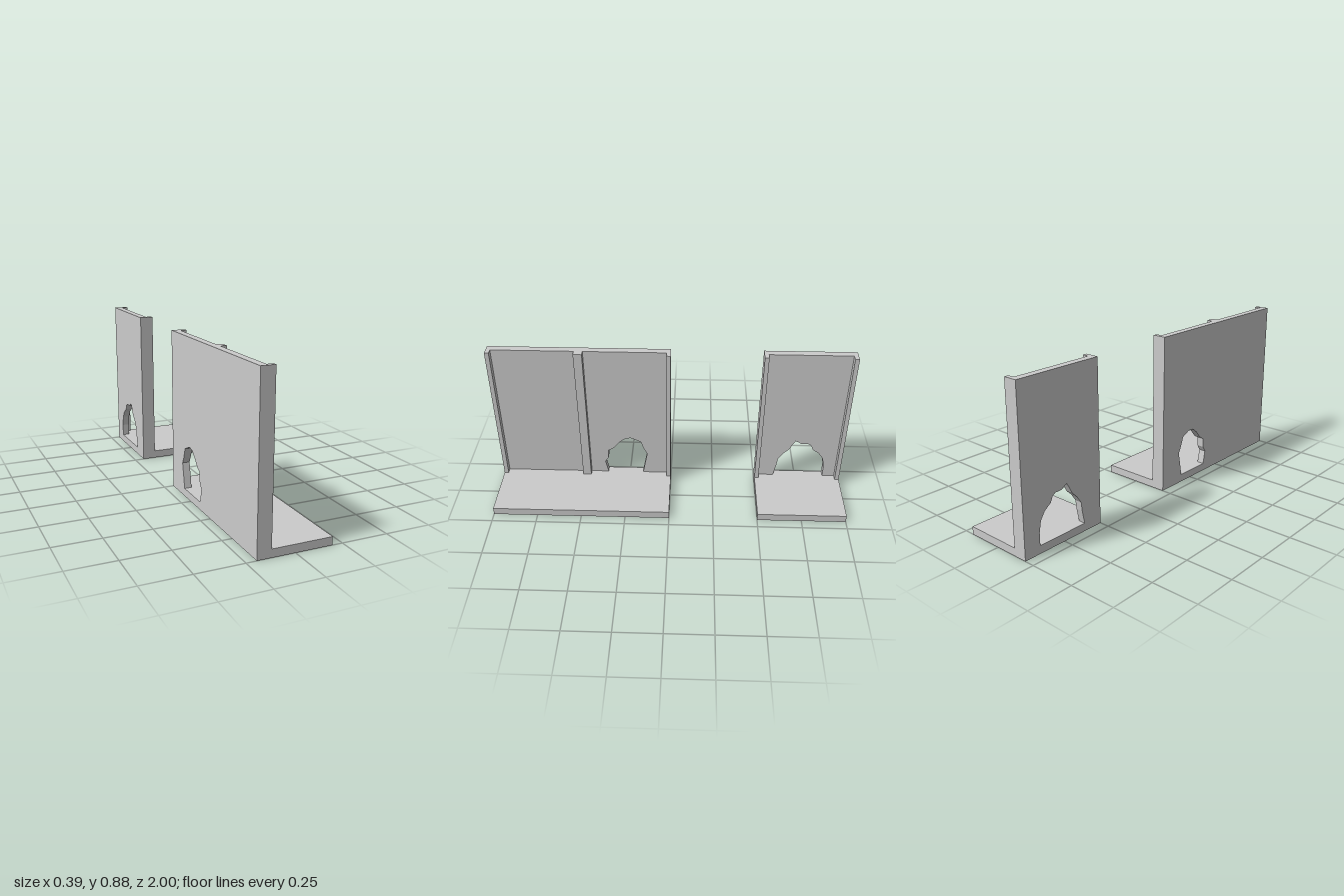
import * as THREE from 'three';

const LEFT = -0.197, RIGHT = 0.195;   // floor extent in x
const WALL = -0.157, POST = -0.123;   // inner faces of wall and posts
const FLOOR = 0.043, TOP = 0.876;     // heights
const BAY = 0.5, POST_W = 0.024;

const material = new THREE.MeshStandardMaterial({ color: 0xcccccc, flatShading: true });

function box(name, x0, x1, y0, y1, z0, z1) {
  const mesh = new THREE.Mesh(new THREE.BoxGeometry(x1 - x0, y1 - y0, z1 - z0), material);
  mesh.position.set((x0 + x1) / 2, (y0 + y1) / 2, (z0 + z1) / 2);
  mesh.name = name;
  return mesh;
}

// Wall panel drawn in (z, y); an optional ragged breach is cut up from the floor line
function wall(z0, breach) {
  const outline = [
    [z0, FLOOR], ...breach, [z0 + BAY, FLOOR], [z0 + BAY, TOP], [z0, TOP],
  ].map(([z, y]) => new THREE.Vector2(z, y));
  const geometry = new THREE.ExtrudeGeometry(new THREE.Shape(outline), {
    depth: WALL - LEFT, bevelEnabled: false,
  });
  geometry.rotateY(-Math.PI / 2); // shape x becomes z, depth runs towards -x
  geometry.translate(WALL, 0, 0);
  const mesh = new THREE.Mesh(geometry, material);
  mesh.name = 'wall';
  return mesh;
}

// One bay: floor slab, back wall and a post at each end
function bay(name, z0, breach = []) {
  const group = new THREE.Group();
  group.name = name;
  group.add(
    box('floor', LEFT, RIGHT, 0, FLOOR, z0, z0 + BAY),
    wall(z0, breach),
    box('frontPost', WALL, POST, FLOOR, TOP, z0 + BAY - POST_W, z0 + BAY),
    box('backPost', WALL, POST, FLOOR, TOP, z0, z0 + POST_W),
  );
  return group;
}

export function createModel() {
  const model = new THREE.Group();
  model.name = 'wallSections';

  // Breach outlines as [z, y], running towards +z
  const middleBreach = [
    [0.166, FLOOR], [0.152, 0.12], [0.14, 0.18], [0.157, 0.215], [0.168, 0.245], [0.176, 0.27],
    [0.193, 0.278], [0.236, 0.297], [0.268, 0.29], [0.3, 0.265], [0.325, 0.235],
    [0.343, 0.215], [0.368, 0.203], [0.37, 0.15], [0.39, 0.118], [0.375, FLOOR],
  ];
  const rearBreach = [
    [-0.906, FLOOR], [-0.906, 0.11], [-0.895, 0.17], [-0.868, 0.21], [-0.83, 0.237],
    [-0.816, 0.267], [-0.8, 0.278], [-0.76, 0.278], [-0.74, 0.291], [-0.724, 0.298],
    [-0.708, 0.27], [-0.69, 0.235], [-0.66, 0.205], [-0.633, 0.165], [-0.627, 0.115],
    [-0.612, FLOOR],
  ];

  model.add(
    bay('frontBay', 0.5),
    bay('middleBay', 0, middleBreach),
    bay('rearBay', -1, rearBreach),
  );
  return model;
}
